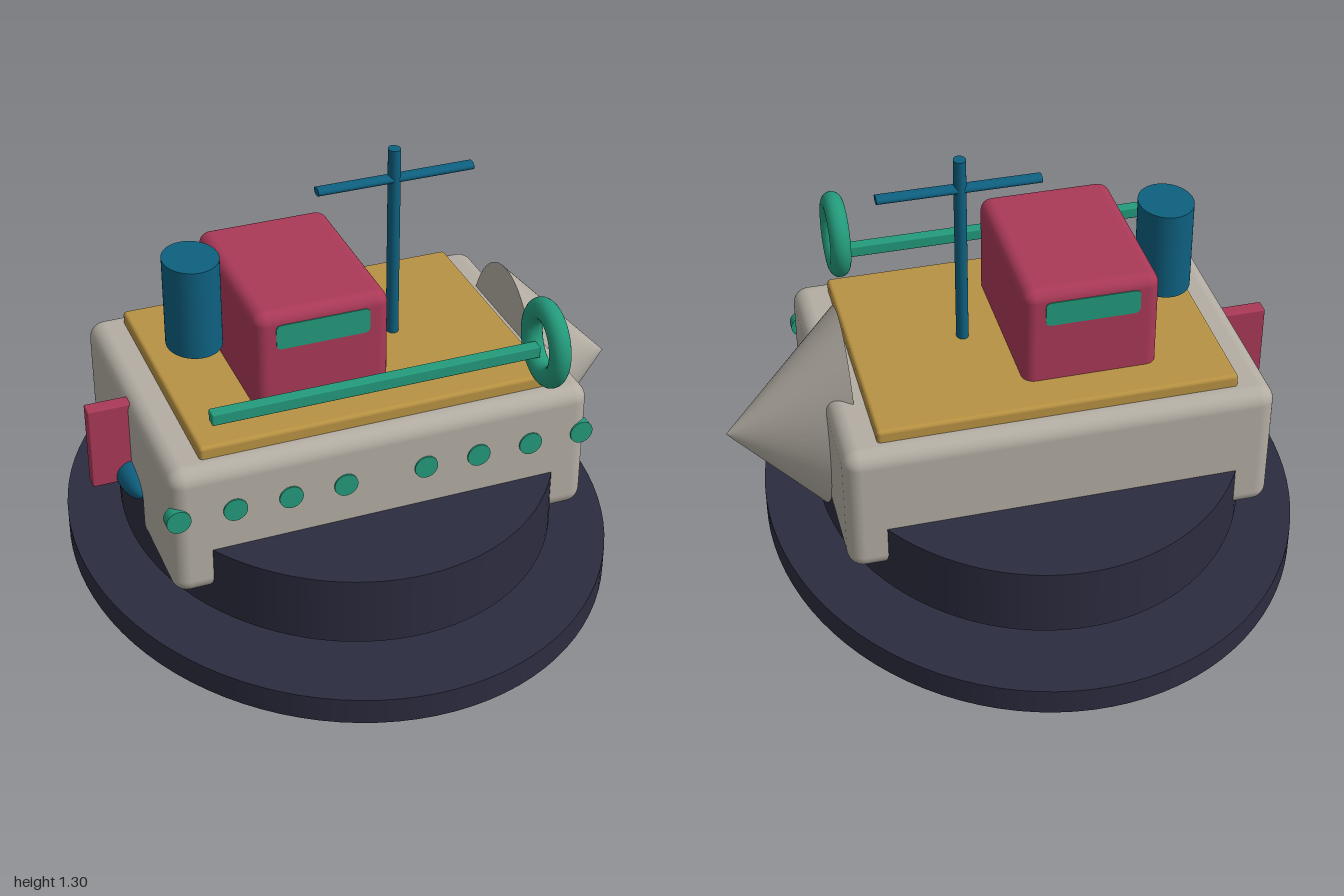
import * as THREE from 'three';
import { RoundedBoxGeometry } from 'three/addons/geometries/RoundedBoxGeometry.js';

const material = (name, color) => {
  const m = new THREE.MeshStandardMaterial({ color });
  m.name = name;
  return m;
};

export function createModel() {
  const model = new THREE.Group();
  const navy = material('navy', 0x2c2c40);
  const stone = material('stone', 0xb3ada3);
  const ochre = material('ochre', 0xb89243);
  const crimson = material('crimson', 0xa93957);
  const teal = material('teal', 0x0e6080);
  const green = material('green', 0x239a7b);

  const add = (name, geometry, mat, x, y, z) => {
    const mesh = new THREE.Mesh(geometry, mat);
    mesh.name = name;
    mesh.position.set(x, y, z);
    model.add(mesh);
    return mesh;
  };
  // Boxes are given by their [min, max] ranges
  const box = (name, mat, [x0, x1], [y0, y1], [z0, z1], radius) => add(name,
    new RoundedBoxGeometry(x1 - x0, y1 - y0, z1 - z0, 5, radius), mat,
    (x0 + x1) / 2, (y0 + y1) / 2, (z0 + z1) / 2);
  // Upright cylinder with an elliptical section
  const column = (name, mat, x, y0, y1, rx, rz, segments = 64) => add(name,
    new THREE.CylinderGeometry(1, 1, y1 - y0, segments).scale(rx, 1, rz), mat, x, (y0 + y1) / 2, 0);

  // Display base: lower disc and floating upper drum
  column('baseDisc', navy, -0.055, 0, 0.085, 0.845, 1, 96);
  column('baseDrum', navy, -0.055, 0.13, 0.35, 0.675, 0.795, 96);

  // Hull, deck and cone bow
  box('hull', stone, [-0.718, 0.608], [0.2, 0.633], [-0.468, 0.468], 0.05);
  box('deck', ochre, [-0.61, 0.498], [0.6, 0.672], [-0.41, 0.41], 0.012);
  const bow = new THREE.ConeGeometry(1, 0.37, 64).rotateZ(-Math.PI / 2).scale(1, 0.385, 0.25);
  add('bow', bow, stone, 0.715, 0.43, 0);

  // Cabin with a window on the front and back
  box('cabin', crimson, [-0.393, 0.025], [0.62, 0.988], [-0.285, 0.285], 0.038);
  const w = 0.145, h = 0.04, c = 0.018;
  const pane = new THREE.Shape();
  pane.moveTo(-w + c, -h).lineTo(w - c, -h).quadraticCurveTo(w, -h, w, -h + c)
    .lineTo(w, h - c).quadraticCurveTo(w, h, w - c, h)
    .lineTo(-w + c, h).quadraticCurveTo(-w, h, -w, h - c)
    .lineTo(-w, -h + c).quadraticCurveTo(-w, -h, -w + c, -h);
  const paneGeometry = new THREE.ExtrudeGeometry(pane, { depth: 0.006, bevelEnabled: false });
  add('frontWindow', paneGeometry, green, -0.185, 0.91, 0.282);
  add('backWindow', paneGeometry, green, -0.185, 0.91, -0.288);

  // Funnel, mast and yard
  column('funnel', teal, -0.495, 0.77, 1.06, 0.085, 0.1);
  column('mast', teal, 0.147, 0.64, 1.3, 0.019, 0.023, 24);
  const yard = new THREE.CylinderGeometry(1, 1, 0.5, 20).rotateZ(Math.PI / 2).scale(1, 0.013, 0.021);
  add('yard', yard, teal, 0.15, 1.202, 0);

  // Row of portholes along the front side
  const porthole = new THREE.CylinderGeometry(0.037, 0.037, 0.036, 24).rotateX(Math.PI / 2);
  for (const x of [-0.698, -0.527, -0.356, -0.185, 0.07, 0.241, 0.412, 0.583])
    add('porthole', porthole, green, x, 0.478, 0.455);

  // Hand rail and life ring
  box('rail', green, [-0.573, 0.45], [0.752, 0.79], [0.39, 0.428], 0.004);
  const ring = new THREE.TorusGeometry(0.096, 0.033, 20, 48).rotateY(Math.PI / 2).scale(1, 1.1, 1);
  add('lifeRing', ring, green, 0.456, 0.813, 0.445);

  // Rudder and propeller at the stern
  box('rudder', crimson, [-0.842, -0.7], [0.335, 0.61], [-0.024, 0.024], 0.005);
  const propeller = new THREE.SphereGeometry(1, 32, 20).scale(0.05, 0.052, 0.14);
  add('propeller', propeller, teal, -0.718, 0.352, 0);

  return model;
}
